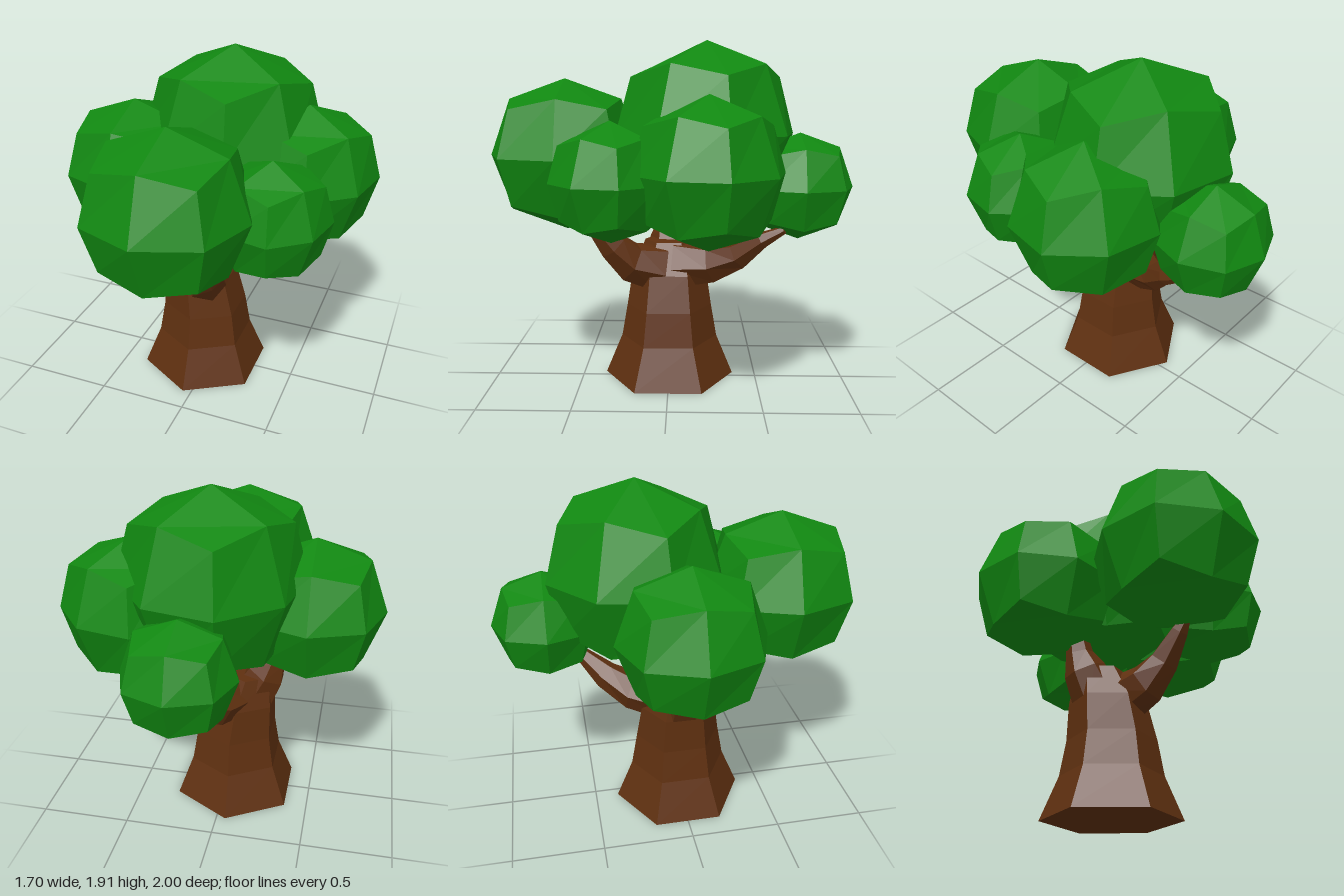
import * as THREE from 'three';

const leafGreen = new THREE.MeshStandardMaterial({ color: 0x118811, flatShading: true });
leafGreen.name = 'leafGreen';
const barkBrown = new THREE.MeshStandardMaterial({ color: 0x5f3010, flatShading: true });
barkBrown.name = 'barkBrown';

function addMesh(group, name, geometry, material) {
  const flat = geometry.index ? geometry.toNonIndexed() : geometry;
  flat.computeVertexNormals();
  const mesh = new THREE.Mesh(flat, material);
  mesh.name = name;
  group.add(mesh);
  return mesh;
}

// Rounded cube: 2 x 2 quads per side, with edges and corners pulled in
function leafGeometry() {
  const g = new THREE.BoxGeometry(2, 2, 2, 2, 2, 2);
  const p = g.attributes.position;
  const v = new THREE.Vector3();
  const pull = [0, 1, 0.735, 0.61];
  for (let i = 0; i < p.count; i++) {
    v.fromBufferAttribute(p, i);
    const axes = v.toArray().filter((c) => Math.abs(c) > 0.5).length;
    v.multiplyScalar(pull[axes]);
    p.setXYZ(i, v.x, v.y, v.z);
  }
  return g;
}

// Six-sided limb through rings [x, y, z, radius]; level keeps the rings horizontal
function limbGeometry(rings, ref, level = false) {
  const sides = 6;
  const centres = rings.map((r) => new THREE.Vector3(r[0], r[1], r[2]));
  const last = rings.length - 1;
  const loops = rings.map((r, i) => {
    const t = level
      ? new THREE.Vector3(0, 1, 0)
      : centres[Math.min(i + 1, last)].clone().sub(centres[Math.max(i - 1, 0)]).normalize();
    const side = t.clone().cross(ref).normalize();
    const n = side.clone().cross(t);
    return Array.from({ length: sides }, (_, k) => {
      const a = (k / sides) * Math.PI * 2;
      return centres[i].clone()
        .addScaledVector(side, Math.sin(a) * r[3])
        .addScaledVector(n, Math.cos(a) * r[3]);
    });
  });
  const pts = [];
  for (let k = 0; k < sides; k++) {
    const m = (k + 1) % sides;
    for (let i = 0; i < last; i++) {
      const [a, b, c, d] = [loops[i][k], loops[i][m], loops[i + 1][m], loops[i + 1][k]];
      pts.push(a, b, c, a, c, d);
    }
    pts.push(centres[0], loops[0][m], loops[0][k]);
    pts.push(centres[last], loops[last][k], loops[last][m]);
  }
  return new THREE.BufferGeometry().setFromPoints(pts);
}

export function createModel() {
  const tree = new THREE.Group();
  tree.name = 'tree';
  const X = new THREE.Vector3(1, 0, 0);
  const Z = new THREE.Vector3(0, 0, 1);

  // Flared trunk
  addMesh(tree, 'trunk', limbGeometry([
    [-0.05, 0, 0, 0.37],
    [-0.05, 0.23, 0, 0.275],
    [-0.05, 0.42, 0, 0.242],
    [-0.075, 0.62, 0, 0.212],
    [-0.12, 0.79, 0, 0.14],
  ], Z, true), barkBrown);

  // Three tapering branches
  addMesh(tree, 'rightBranch', limbGeometry([
    [-0.13, 0.62, 0, 0.14],
    [-0.22, 0.79, 0, 0.115],
    [-0.255, 0.88, 0, 0.075],
    [-0.28, 1.02, 0, 0.055],
  ], Z), barkBrown);
  addMesh(tree, 'frontBranch', limbGeometry([
    [-0.02, 0.64, 0.06, 0.14],
    [0.04, 0.69, 0.22, 0.115],
    [0.09, 0.79, 0.31, 0.085],
    [0.12, 0.93, 0.42, 0.05],
    [0.13, 0.98, 0.46, 0.03],
  ], X), barkBrown);
  addMesh(tree, 'backBranch', limbGeometry([
    [-0.04, 0.66, -0.06, 0.14],
    [0.03, 0.68, -0.25, 0.11],
    [0.11, 0.75, -0.39, 0.08],
    [0.19, 0.85, -0.51, 0.045],
    [0.22, 0.91, -0.62, 0.022],
  ], X), barkBrown);

  // Leaf clumps: name, centre, radius, height radius, turn
  const turn = THREE.MathUtils.degToRad(-32);
  const clumps = [
    ['topLeaves', 0.045, 1.41, -0.205, 0.482, 0.5, turn],
    ['frontLeaves', -0.01, 1.29, 0.575, 0.423, 0.42, 0],
    ['rightLeaves', -0.465, 1.225, -0.012, 0.387, 0.385, 0],
    ['leftLeaves', 0.465, 1.235, -0.21, 0.383, 0.39, turn],
    ['frontLeftLeaves', 0.415, 1.185, 0.285, 0.303, 0.31, turn],
    ['backLeaves', 0.097, 1.13, -0.71, 0.29, 0.29, 0],
  ];
  for (const [name, x, y, z, r, h, angle] of clumps) {
    const mesh = addMesh(tree, name, leafGeometry().scale(r, h, r), leafGreen);
    mesh.position.set(x, y, z);
    mesh.rotation.y = angle;
  }
  return tree;
}
